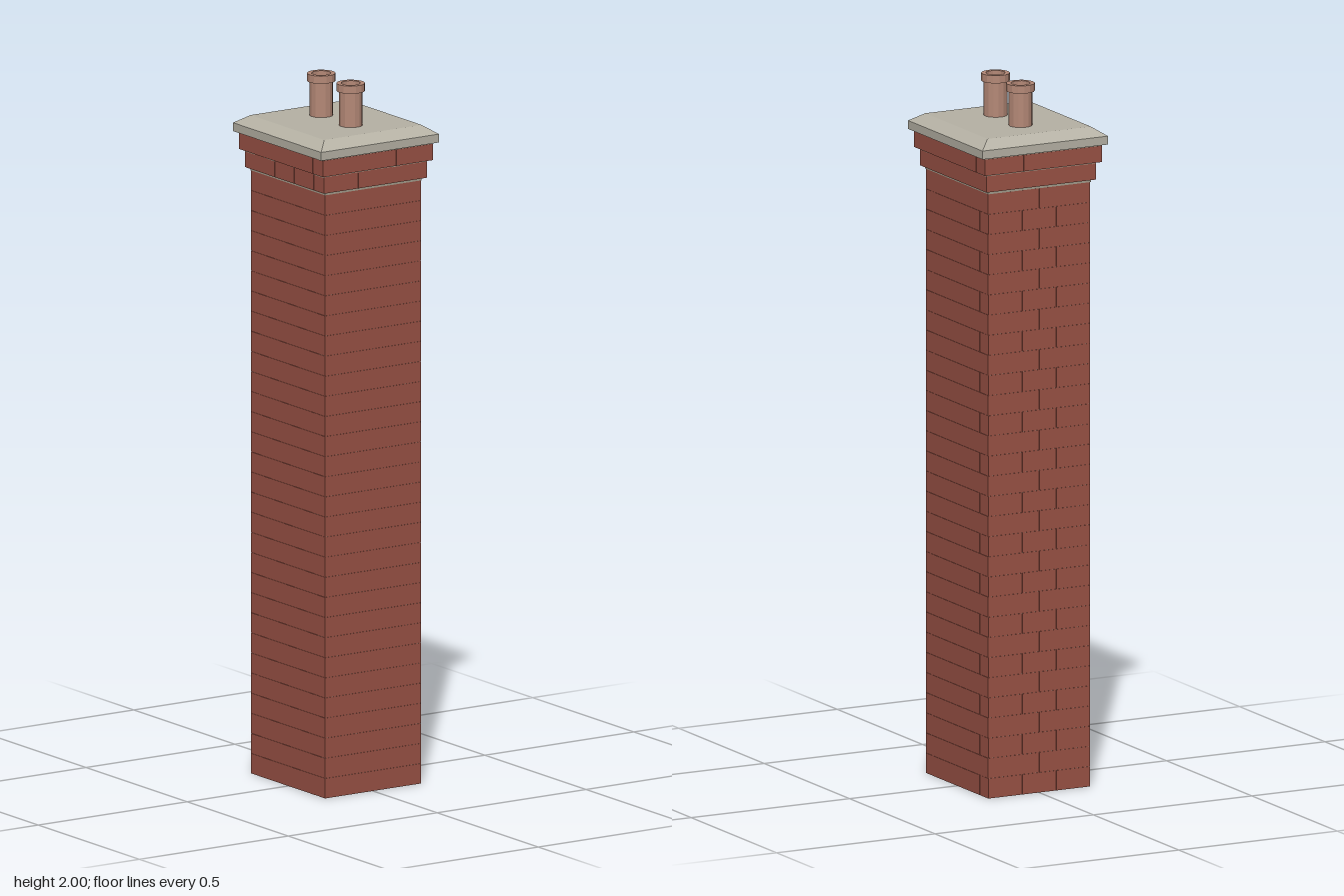
import * as THREE from 'three';
import { mergeGeometries } from 'three/addons/utils/BufferGeometryUtils.js';

const paint = (name, color) => Object.assign(new THREE.MeshStandardMaterial({ color }), { name });

export function createModel() {
  const brick = paint('red brick', 0x9a5245);
  const mortar = paint('mortar', 0xa39c8c);
  const stone = paint('cap stone', 0xb6b2a5);
  const clay = paint('terracotta', 0xb58977);
  const soot = paint('soot', 0x5a5a5a);
  const model = new THREE.Group();
  model.name = 'chimney';

  const add = (name, geometry, material, y = 0, z = 0, parent = model) => {
    const mesh = new THREE.Mesh(geometry, material);
    mesh.name = name;
    mesh.position.set(0, y, z);
    parent.add(mesh);
    return mesh;
  };

  // Ring courses of bricks in running bond, with hairline joints
  const GAP = 0.0006, DEPTH = 0.05;
  function brickwork(halfX, halfZ, y0, y1, courses) {
    const parts = [], h = (y1 - y0) / courses;
    const put = (w, d, x, y, z) =>
      parts.push(new THREE.BoxGeometry(w, h - GAP, d).translate(x, y, z));
    for (let i = 0; i < courses; i++) {
      const y = y0 + h * (i + 0.5), odd = i % 2;
      const spanX = 2 * (halfX - (odd ? DEPTH : 0));
      const spanZ = 2 * (halfZ - (odd ? 0 : DEPTH));
      const nx = odd ? 2 : 3, nz = odd ? 4 : 3;
      for (const side of [-1, 1]) {
        for (let k = 0; k < nx; k++)
          put(spanX / nx - GAP, DEPTH, ((k + 0.5) / nx - 0.5) * spanX, y, side * (halfZ - DEPTH / 2));
        for (let k = 0; k < nz; k++)
          put(DEPTH, spanZ / nz - GAP, side * (halfX - DEPTH / 2), y, ((k + 0.5) / nz - 0.5) * spanZ);
      }
    }
    return mergeGeometries(parts);
  }
  function masonry(name, halfX, halfZ, y0, y1, courses) {
    add(name + 'Bricks', brickwork(halfX, halfZ, y0, y1, courses), brick);
    const inset = 0.0015;
    add(name + 'Mortar', new THREE.BoxGeometry(2 * (halfX - inset), y1 - y0 - 0.004, 2 * (halfZ - inset)),
      mortar, (y0 + y1) / 2);
  }

  // Shaft and two stepped corbels
  masonry('shaft', 0.161, 0.183, 0, 1.722, 30);
  add('shaftBase', new THREE.BoxGeometry(0.315, 0.002, 0.36), brick, 0.001);
  masonry('lowerCorbel', 0.173, 0.195, 1.73, 1.777, 1);
  masonry('upperCorbel', 0.185, 0.207, 1.781, 1.828, 1);
  for (const [y, x, z] of [[1.731, 0.17, 0.192], [1.782, 0.182, 0.204]])
    add('corbelUnderside', new THREE.BoxGeometry(2 * x, 0.002, 2 * z), brick, y);

  // Mortar beds between the steps and under the cap
  for (const [y, x, z] of [[1.726, 0.162, 0.184], [1.779, 0.173, 0.195], [1.83, 0.184, 0.206]])
    add('mortarBed', new THREE.BoxGeometry(2 * x, 0.008, 2 * z), mortar, y);

  // Cap slab with a bevelled top
  add('capSlab', new THREE.BoxGeometry(0.396, 0.024, 0.436), stone, 1.844);
  const bevel = new THREE.BoxGeometry(0.396, 0.024, 0.436).toNonIndexed();
  const p = bevel.attributes.position;
  for (let i = 0; i < p.count; i++)
    if (p.getY(i) > 0) p.setXYZ(i, Math.sign(p.getX(i)) * 0.163, p.getY(i), Math.sign(p.getZ(i)) * 0.182);
  bevel.computeVertexNormals();
  add('capBevel', bevel, stone, 1.868);

  // Hollow pots with a rolled rim
  const V = (x, y) => new THREE.Vector2(x, y);
  const profile = [V(0.033, 0), V(0.033, 0.1), V(0.04, 0.1), V(0.04, 0.122), V(0.027, 0.122), V(0.027, 0.1)];
  const potGeometry = new THREE.LatheGeometry(profile, 14).toNonIndexed();
  potGeometry.computeVertexNormals();
  potGeometry.rotateY(Math.PI / 2);
  for (const side of [-1, 1]) {
    const pot = new THREE.Group();
    pot.name = side > 0 ? 'frontPot' : 'backPot';
    pot.position.set(0, 1.878, side * 0.073);
    model.add(pot);
    add('potWall', potGeometry, clay, 0, 0, pot);
    add('flue', new THREE.CircleGeometry(0.027, 14).rotateX(-Math.PI / 2).rotateY(Math.PI / 2), soot, 0.108, 0, pot);
  }
  return model;
}
